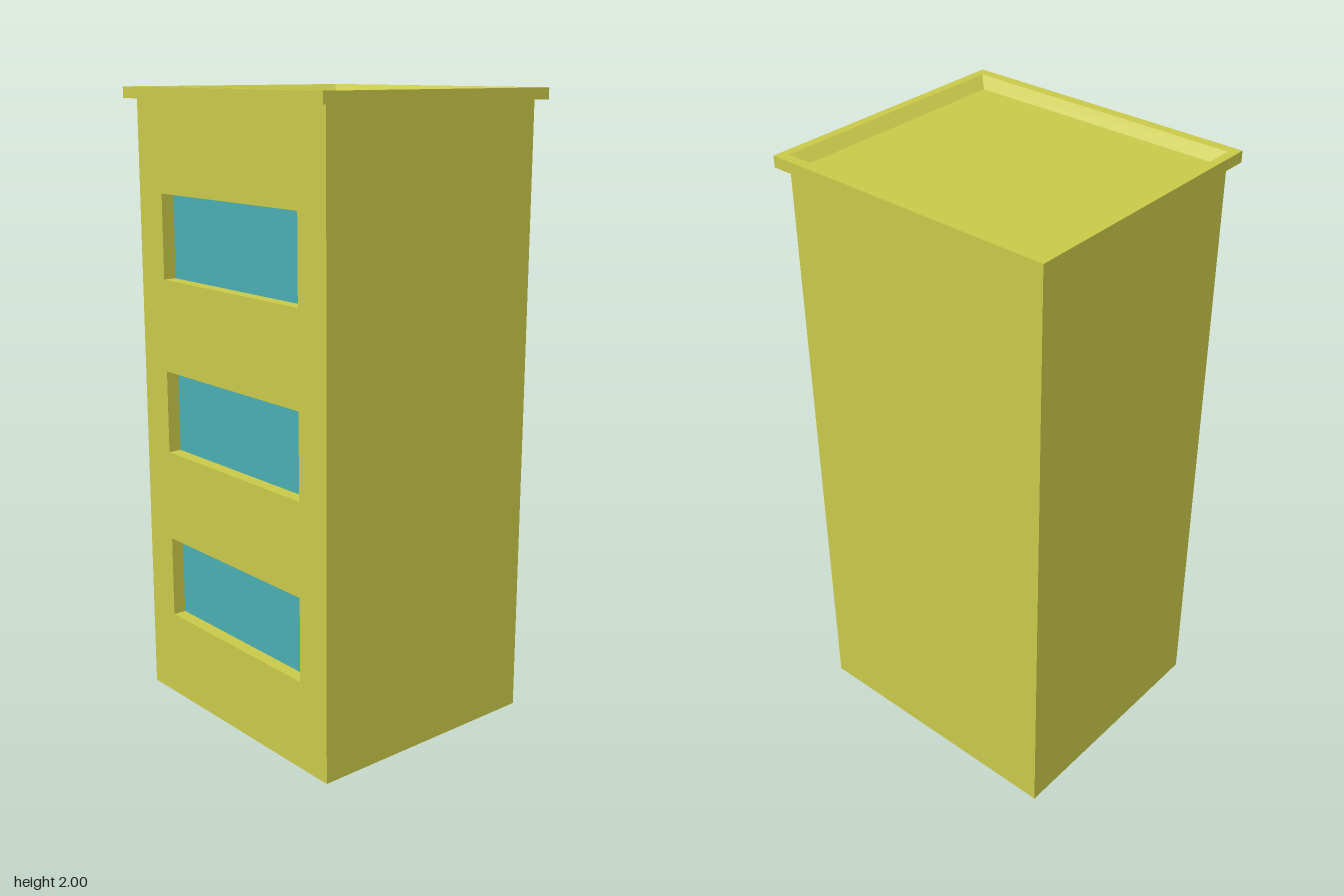
import * as THREE from 'three';

const WALL = 0xc8c84a, GLASS = 0x48adb0;
const HX = 0.405, HZ = 0.458;      // half width and half depth of the tower
const EAVE = 1.965;                // top of the walls
const RECESS = 0.045;              // window recess depth
const WIN_HALF = 0.335, WIN_H = 0.268;
const WIN_BASES = [0.283, 0.847, 1.411];

const material = (color) => new THREE.MeshStandardMaterial({ color, flatShading: true });

function add(parent, name, geometry, mat) {
  const mesh = new THREE.Mesh(geometry, mat);
  mesh.name = name;
  parent.add(mesh);
  return mesh;
}

// Closed solid through rectangular rings [halfX, y, halfZ]
function rectLoft(rings) {
  const signs = [[1, 1], [1, -1], [-1, -1], [-1, 1]];
  const loops = rings.map(([hx, y, hz]) => signs.map(([sx, sz]) => [sx * hx, y, sz * hz]));
  const pos = [];
  const quad = (a, b, c, d) => [a, b, c, a, c, d].forEach((p) => pos.push(...p));
  for (let r = 0; r < loops.length - 1; r++) {
    for (let i = 0; i < 4; i++) {
      const j = (i + 1) % 4;
      quad(loops[r][i], loops[r][j], loops[r + 1][j], loops[r + 1][i]);
    }
  }
  quad(...[...loops[0]].reverse());
  quad(...loops[loops.length - 1]);
  const geometry = new THREE.BufferGeometry();
  geometry.setAttribute('position', new THREE.Float32BufferAttribute(pos, 3));
  geometry.computeVertexNormals();
  return geometry;
}

function rectangle(path, x0, y0, x1, y1) {
  path.moveTo(x0, y0);
  path.lineTo(x1, y0);
  path.lineTo(x1, y1);
  path.lineTo(x0, y1);
  path.closePath();
  return path;
}

export function createModel() {
  const model = new THREE.Group();
  model.name = 'tower';
  const wall = material(WALL), glass = material(GLASS);

  // Solid core behind the window wall
  const coreWidth = 2 * HX - RECESS;
  add(model, 'towerBody', new THREE.BoxGeometry(coreWidth, EAVE, 2 * HZ), wall)
    .position.set(RECESS / 2, EAVE / 2, 0);

  // Window wall on the -x side, pierced by three openings
  const outline = rectangle(new THREE.Shape(), -HZ, 0, HZ, EAVE);
  for (const y of WIN_BASES) {
    outline.holes.push(rectangle(new THREE.Path(), -WIN_HALF, y, WIN_HALF, y + WIN_H));
  }
  const panel = new THREE.ExtrudeGeometry(outline, { depth: RECESS, bevelEnabled: false });
  panel.rotateY(-Math.PI / 2);
  add(model, 'windowWall', panel, wall).position.x = -HX + RECESS;

  // Panes at the back of each opening
  WIN_BASES.forEach((y, i) => {
    add(model, `windowPane${i + 1}`, new THREE.BoxGeometry(0.004, WIN_H, 2 * WIN_HALF), glass)
      .position.set(-HX + RECESS, y + WIN_H / 2, 0);
  });

  // Overhanging roof slab with a shallow, sloped-edge tray on top
  add(model, 'roof', rectLoft([
    [0.438, EAVE, 0.485],
    [0.438, 2, 0.485],
    [HX, 2, HZ],
    [0.373, 1.97, 0.422],
  ]), wall);

  return model;
}
